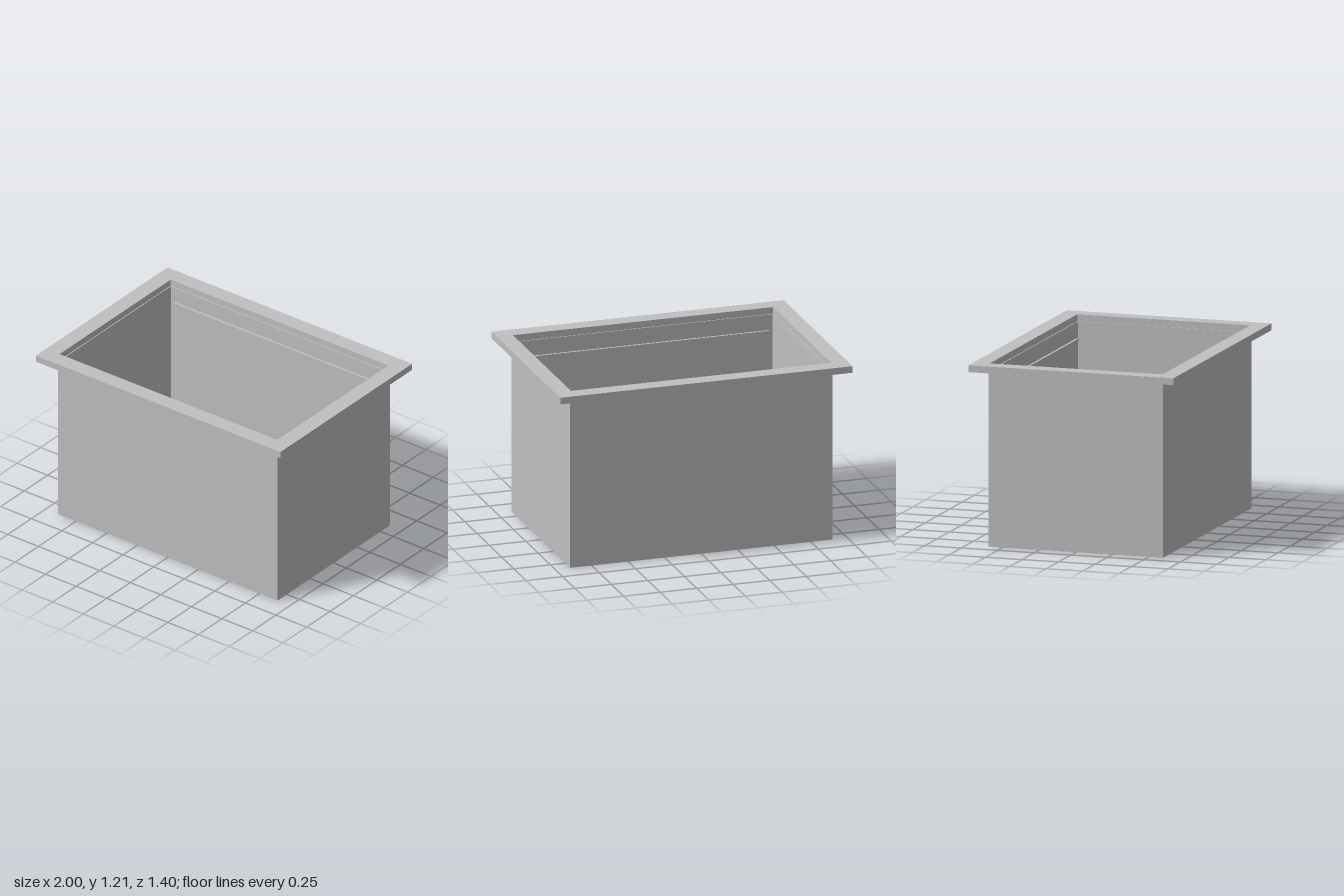
import * as THREE from 'three';

export function createModel() {
  const model = new THREE.Group();
  model.name = 'rimmedBin';
  const steel = new THREE.MeshStandardMaterial({ color: 0xc0c0c0 });
  steel.name = 'grey steel';

  const W = 0.897, D = 0.598, T = 0.013; // half width, half depth, wall thickness
  const wallTop = 1.165, rimTop = 1.21;

  function box(name, w, h, d, x, y, z) {
    const mesh = new THREE.Mesh(new THREE.BoxGeometry(w, h, d), steel);
    mesh.name = name;
    mesh.position.set(x, y, z);
    model.add(mesh);
  }

  // Floor, set between the walls
  box('floor', 2 * (W - T), T, 2 * (D - T), 0, T / 2, 0);

  // Walls and the slim support rails inside the long ones
  for (const s of [1, -1]) {
    const end = s > 0 ? 'front' : 'back', side = s > 0 ? 'left' : 'right';
    box(end + 'Wall', 2 * W, wallTop, T, 0, wallTop / 2, s * (D - T / 2));
    box(side + 'Wall', T, wallTop, 2 * (D - T), s * (W - T / 2), wallTop / 2, 0);
    box(end + 'Rail', 1.71, 0.016, 0.015, 0, 1.05, s * (D - T - 0.0075));
  }

  // Flat rim with a rectangular opening
  function rectangle(path, x, z) {
    path.moveTo(-x, -z).lineTo(x, -z).lineTo(x, z).lineTo(-x, z).closePath();
    return path;
  }
  const outline = rectangle(new THREE.Shape(), 1, 0.702);
  outline.holes.push(rectangle(new THREE.Path(), 0.89, 0.592));
  const rimGeometry = new THREE.ExtrudeGeometry(outline, { depth: rimTop - wallTop, bevelEnabled: false });
  rimGeometry.rotateX(-Math.PI / 2);
  const rim = new THREE.Mesh(rimGeometry, steel);
  rim.name = 'rim';
  rim.position.y = wallTop;
  model.add(rim);

  return model;
}
